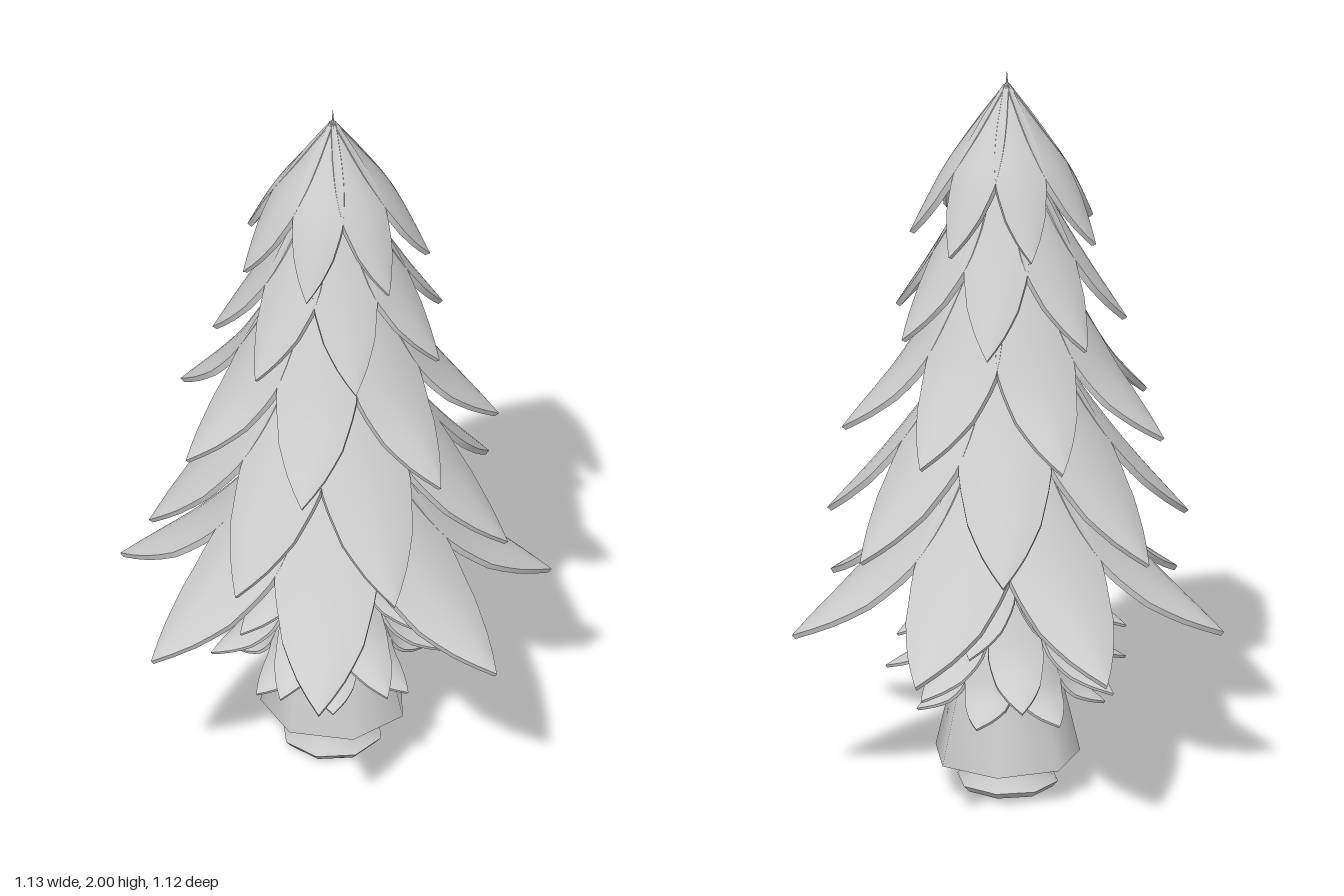
import * as THREE from 'three';
import { toCreasedNormals } from 'three/addons/utils/BufferGeometryUtils.js';

const material = new THREE.MeshStandardMaterial({ color: 0xcccccc });
const LEAVES = 7;

// Outline of a leaf: [position along the leaf, share of its half width]
const outline = [[0, 0.12], [0.2, 0.57], [0.35, 0.84], [0.48, 0.98], [0.58, 1], [0.76, 0.78], [0.9, 0.4], [1, 0]];

function outlineAt(t) {
  let i = 0;
  while (i < outline.length - 2 && t > outline[i + 1][0]) i++;
  const [t0, w0] = outline[i], [t1, w1] = outline[i + 1];
  return THREE.MathUtils.lerp(w0, w1, (t - t0) / (t1 - t0));
}

// Thick, slightly arched leaf pointing along +x; path holds [radius, height] points
function leafGeometry(path, halfWidth, thickness) {
  const curve = new THREE.CatmullRomCurve3(path.map(([r, y]) => new THREE.Vector3(r, y, 0)));
  const rows = 16, across = 6, ring = 2 * (across + 1);
  const positions = [], index = [];
  for (let i = 0; i <= rows; i++) {
    const t = i / rows;
    const p = curve.getPointAt(t), tan = curve.getTangentAt(t);
    const w = halfWidth * outlineAt(t);
    const depth = thickness * Math.min(1, 0.1 + 3 * t) * (1 - 0.35 * t);
    for (let j = 0; j < ring; j++) {
      const top = j <= across;
      const u = ((top ? j : ring - 1 - j) / across) * 2 - 1;
      const drop = 0.2 * w * u * u + (top ? 0 : depth);
      positions.push(p.x + tan.y * drop, p.y - tan.x * drop, u * w);
    }
  }
  for (let i = 0; i < rows; i++) {
    for (let j = 0; j < ring; j++) {
      const a = i * ring + j, b = i * ring + ((j + 1) % ring);
      index.push(a, b, a + ring, b, b + ring, a + ring);
    }
  }
  const geometry = new THREE.BufferGeometry();
  geometry.setAttribute('position', new THREE.Float32BufferAttribute(positions, 3));
  geometry.setIndex(index);
  return toCreasedNormals(geometry, 0.7);
}

function leafTier(name, { path, width, angle, thickness = 0.022 }) {
  const tier = new THREE.Group();
  tier.name = name;
  const geometry = leafGeometry(path, width, thickness);
  for (let k = 0; k < LEAVES; k++) {
    const leaf = new THREE.Mesh(geometry, material);
    leaf.name = 'leaf';
    leaf.rotation.y = -THREE.MathUtils.degToRad(angle + (k * 360) / LEAVES);
    tier.add(leaf);
  }
  return tier;
}

function lathe(name, profile, sides) {
  const points = profile.map(([r, y]) => new THREE.Vector2(r, y));
  const mesh = new THREE.Mesh(toCreasedNormals(new THREE.LatheGeometry(points, sides), 1), material);
  mesh.name = name;
  return mesh;
}

export function createModel() {
  const tree = new THREE.Group();
  tree.name = 'tree';

  // Flared foot, seven-sided skirt and the core hidden behind the leaves
  const foot = lathe('foot', [[0, 0], [0.12, 0.005], [0.135, 0.022], [0.105, 0.055], [0.09, 0.12]], 8);
  foot.position.set(0.01, 0, 0.01);
  const skirt = lathe('trunkSkirt', [[0.08, 0.1], [0.195, 0.1], [0.155, 0.27], [0.115, 0.42], [0, 0.46]], 7);
  skirt.position.set(0.028, 0, -0.01);
  skirt.rotation.y = Math.PI / 2;
  const core = lathe('trunkCore',
    [[0.12, 0.35], [0.11, 0.5], [0.1, 0.75], [0.09, 1.2], [0.05, 1.65], [0, 1.88]], 14);
  core.position.set(0.01, 0, 0.01);
  tree.add(foot, skirt, core);

  // Large tiers from bottom to top, each staggered half a leaf from the next
  const branches = new THREE.Group();
  branches.name = 'branches';
  branches.position.set(0.01, 0, 0.014);
  [
    { path: [[0.06, 1.08], [0.15, 0.92], [0.265, 0.755], [0.4, 0.61], [0.58, 0.47]], width: 0.135, angle: 17.8 },
    { path: [[0.07, 1.34], [0.19, 1.12], [0.33, 0.92], [0.485, 0.73]], width: 0.122, angle: -5.5 },
    { path: [[0.06, 1.57], [0.17, 1.38], [0.285, 1.19], [0.435, 1.02]], width: 0.107, angle: 25 },
    { path: [[0.04, 1.8], [0.125, 1.62], [0.215, 1.46], [0.315, 1.3]], width: 0.086, angle: 3 },
    { path: [[0.005, 1.96], [0.085, 1.845], [0.165, 1.725], [0.255, 1.55]], width: 0.068, angle: 30 },
  ].forEach((spec, i) => branches.add(leafTier(`branchTier${i + 1}`, spec)));
  tree.add(branches);

  // Small flaring leaves around the upper trunk
  const trunkLeaves = new THREE.Group();
  trunkLeaves.name = 'trunkLeaves';
  trunkLeaves.position.set(0.008, 0, 0.008);
  [
    { path: [[0.1, 0.5], [0.135, 0.4], [0.175, 0.305], [0.255, 0.245]], width: 0.07, angle: 13 },
    { path: [[0.1, 0.64], [0.14, 0.52], [0.205, 0.405], [0.325, 0.32]], width: 0.073, angle: -13 },
    { path: [[0.09, 0.8], [0.135, 0.67], [0.2, 0.55], [0.31, 0.46]], width: 0.073, angle: 13 },
  ].forEach((spec, i) =>
    trunkLeaves.add(leafTier(`trunkLeafTier${i + 1}`, { ...spec, thickness: 0.012 })));
  tree.add(trunkLeaves);

  // Thin spike at the crown
  const crown = lathe('crownSpike', [[0.02, 1.93], [0.008, 1.955], [0.003, 1.965], [0, 2]], 7);
  crown.position.set(0.01, 0, 0.014);
  tree.add(crown);
  return tree;
}
